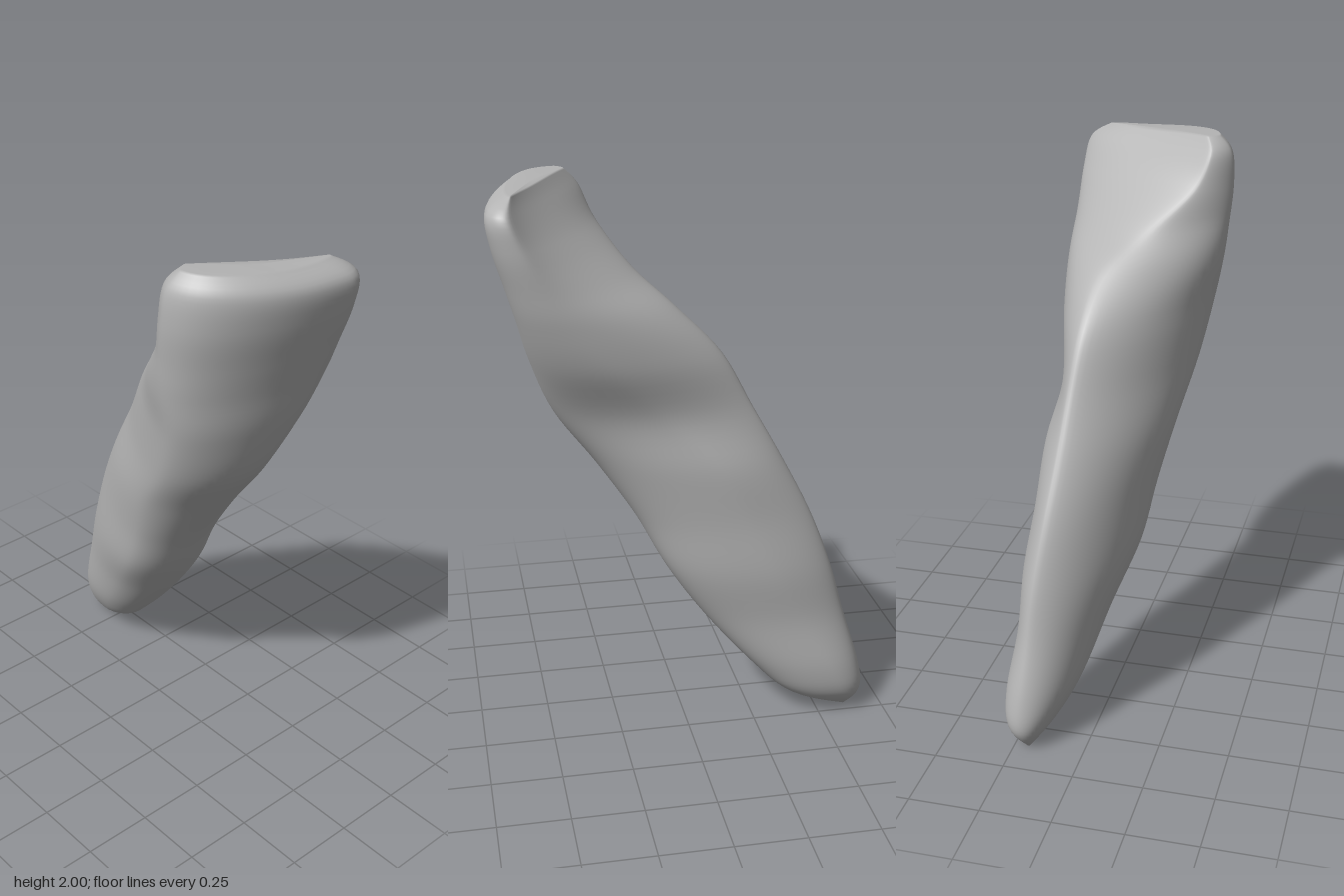
import * as THREE from 'three';

// Horizontal sections from root tip to biting edge:
// y, left point (x,z), front point (x,z), right point (x,z), back point (x,z), hollowness of the back
const SECTIONS = [
  [0.00, 0.195, -0.61, 0.20, -0.605, 0.205, -0.61, 0.20, -0.615, 1],
  [0.08, 0.12, -0.48, 0.18, -0.39, 0.28, -0.58, 0.21, -0.668, 1],
  [0.20, 0.055, -0.40, 0.16, -0.255, 0.298, -0.52, 0.21, -0.655, 1.05],
  [0.40, -0.01, -0.25, 0.13, -0.08, 0.28, -0.40, 0.20, -0.595, 1.1],
  [0.60, -0.085, -0.10, 0.11, 0.06, 0.285, -0.30, 0.19, -0.54, 1.2],
  [0.80, -0.122, 0.0, 0.07, 0.17, 0.268, -0.20, 0.17, -0.465, 1.25],
  [1.00, -0.168, 0.10, 0.04, 0.305, 0.26, -0.10, 0.15, -0.365, 1.3],
  [1.20, -0.217, 0.25, 0.04, 0.45, 0.235, 0.10, 0.14, -0.255, 1.35],
  [1.40, -0.257, 0.33, 0.10, 0.53, 0.29, 0.28, 0.12, -0.145, 1.35],
  [1.56, -0.287, 0.34, 0.16, 0.575, 0.308, 0.40, 0.08, 0.01, 1.25],
  [1.68, -0.30, 0.35, 0.18, 0.61, 0.308, 0.48, -0.03, 0.145, 1.3],
  [1.82, -0.31, 0.37, 0.20, 0.65, 0.306, 0.55, -0.18, 0.25, 1.6],
  [1.94, -0.30, 0.38, 0.20, 0.66, 0.285, 0.59, -0.23, 0.305, 2.0],
  [2.00, -0.25, 0.39, 0.12, 0.585, 0.20, 0.575, -0.21, 0.36, 2.1],
];
const ARC = 18, RING = ARC * 4, STEPS = 6;

// Smooth interpolation between neighbouring sections
function sectionAt(u) {
  const last = SECTIONS.length - 1;
  const i = Math.min(Math.floor(u), last - 1), t = u - i;
  const [a, b, c, d] = [i - 1, i, i + 1, i + 2].map(k => SECTIONS[THREE.MathUtils.clamp(k, 0, last)]);
  return b.map((p, k) => p + 0.5 * t * (c[k] - a[k]
    + t * (2 * a[k] - 5 * p + 4 * c[k] - d[k] + t * (3 * (p - c[k]) + d[k] - a[k]))));
}

// Closed outline made of four quarter arcs through the extreme points
function outline([, lx, lz, fx, fz, rx, rz, bx, bz, e]) {
  const ends = [[lx, lz], [fx, fz], [rx, rz], [bx, bz]];
  const corners = [[lx, fz], [rx, fz], [rx, bz], [lx, bz]];
  const powers = [1, 0.9, e, Math.min(e, 1.35)];
  let ring = [];
  for (let q = 0; q < 4; q++) {
    const A = ends[q], B = ends[(q + 1) % 4];
    for (let j = 0; j < ARC; j++) {
      const t = (j / ARC) * Math.PI / 2;
      const c = Math.cos(t) ** powers[q], s = Math.sin(t) ** powers[q];
      ring.push([0, 1].map(k => {
        const centre = A[k] + B[k] - corners[q][k];
        return centre + (A[k] - centre) * c + (B[k] - centre) * s;
      }));
    }
  }
  // soften the ridges
  for (let n = 0; n < 4; n++) {
    ring = ring.map((p, j) => {
      const a = ring[(j + RING - 1) % RING], b = ring[(j + 1) % RING];
      return [0, 1].map(k => p[k] * 0.5 + (a[k] + b[k]) * 0.25);
    });
  }
  return ring;
}

function toothGeometry() {
  const pos = [], index = [];
  const rows = (SECTIONS.length - 1) * STEPS;
  // the biting edge sinks slightly towards the right
  const lift = (x, y) => y - Math.max(0, y - 1.8) * 0.07 * THREE.MathUtils.smoothstep(x, -0.25, 0.1);
  let top;
  for (let i = 0; i <= rows; i++) {
    const s = sectionAt(i / STEPS);
    top = outline(s);
    for (const [x, z] of top) pos.push(x, lift(x, Math.max(0, s[0])), z);
  }
  for (let i = 0; i < rows; i++) {
    for (let j = 0; j < RING; j++) {
      const k = (j + 1) % RING;
      const a = i * RING + j, b = i * RING + k;
      index.push(a, b, a + RING, b, b + RING, a + RING);
    }
  }
  // biting edge and root tip caps
  const mid = [0, 1].map(k => top.reduce((sum, p) => sum + p[k], 0) / RING);
  const topId = pos.length / 3, tipId = topId + 1;
  pos.push(mid[0], 1.99, mid[1], 0.2, 0, -0.61);
  for (let j = 0; j < RING; j++) {
    const k = (j + 1) % RING;
    index.push(rows * RING + j, rows * RING + k, topId, k, j, tipId);
  }
  const geometry = new THREE.BufferGeometry();
  geometry.setAttribute('position', new THREE.Float32BufferAttribute(pos, 3));
  geometry.setIndex(index);
  geometry.computeVertexNormals();
  return geometry;
}

export function createModel() {
  const enamel = new THREE.MeshStandardMaterial({ color: 0xb4b4b4 });
  enamel.name = 'grey enamel';
  const tooth = new THREE.Mesh(toothGeometry(), enamel);
  tooth.name = 'incisorTooth';
  const model = new THREE.Group();
  model.name = 'incisor';
  model.add(tooth);
  return model;
}
